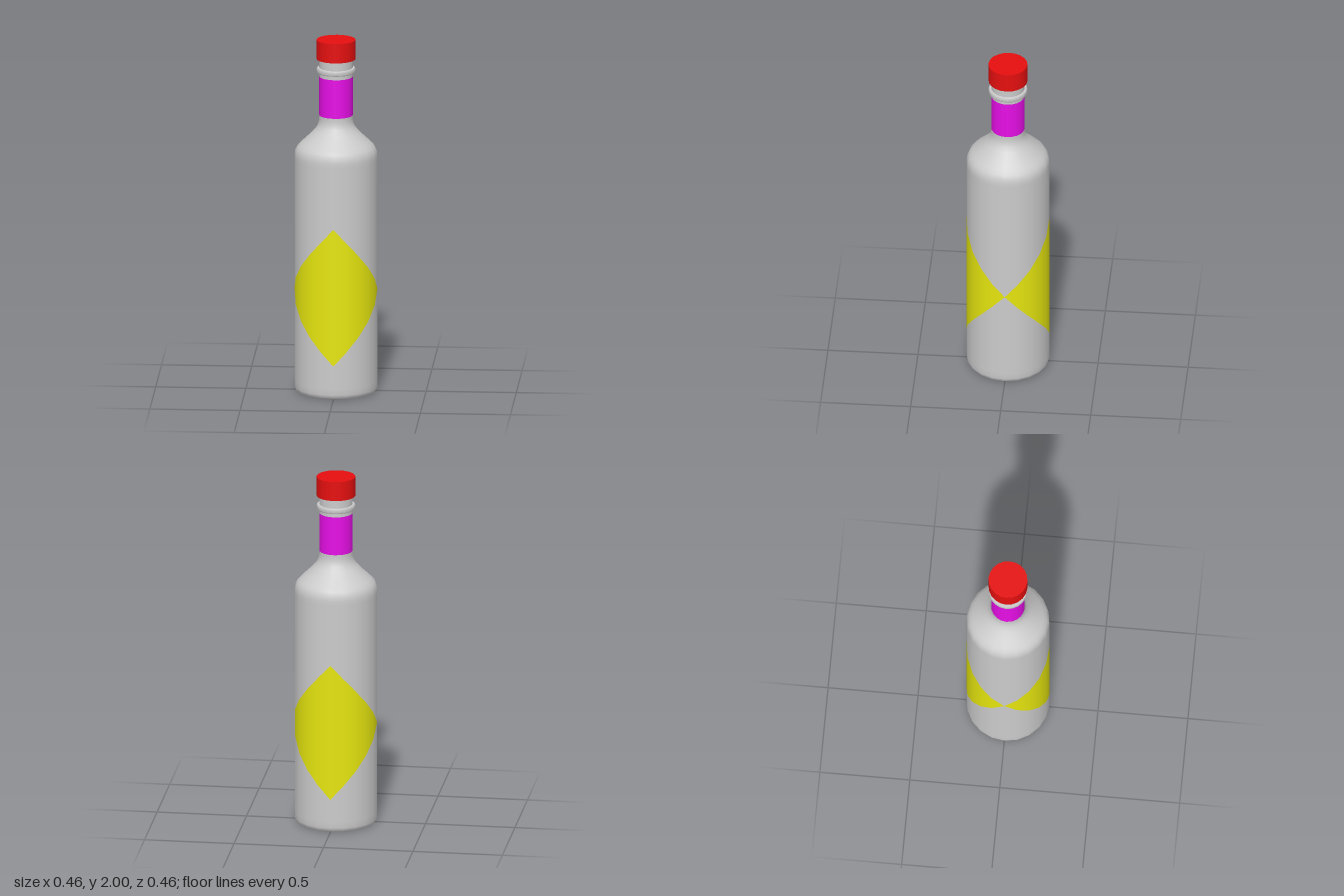
import * as THREE from 'three';

const SIDES = 20;
const BODY_R = 0.23;
const NECK_R = 0.093;

const glass = new THREE.MeshStandardMaterial({ color: 0xcccccc });
const yellow = new THREE.MeshStandardMaterial({ color: 0xe6e60f });
const magenta = new THREE.MeshStandardMaterial({ color: 0xe60fe6 });
const red = new THREE.MeshStandardMaterial({ color: 0xe60f0f });

// Turned part from [radius, height] points, listed bottom to top
function turned(name, points, material) {
  const profile = points.map(([r, y]) => new THREE.Vector2(r, y));
  const mesh = new THREE.Mesh(new THREE.LatheGeometry(profile, SIDES), material);
  mesh.name = name;
  return mesh;
}

// Strip of the straight body wall whose lower and upper edges vary with the angle
function wallBand(name, low, high, material) {
  const mesh = turned(name, [[BODY_R, 0], [BODY_R, 1]], material);
  const pos = mesh.geometry.attributes.position;
  for (let i = 0; i < pos.count; i++) {
    const angle = Math.atan2(pos.getX(i), pos.getZ(i));
    pos.setY(i, pos.getY(i) < 0.5 ? low(angle) : high(angle));
  }
  return mesh;
}

export function createModel() {
  const bottle = new THREE.Group();
  bottle.name = 'bottle';

  // Base with a small rounded edge
  const base = new THREE.Mesh(new THREE.CircleGeometry(0.215, SIDES), glass);
  base.name = 'base';
  base.rotation.x = Math.PI / 2;
  bottle.add(base);
  bottle.add(turned('baseEdge', [[0.215, 0], [0.225, 0.008], [0.23, 0.025], [0.23, 0.06]], glass));

  // Straight wall, divided by diamond labels on the front and back
  const reach = (a) => {
    const fromFace = Math.min(Math.abs(a), Math.PI - Math.abs(a));
    return 0.39 * (1 - fromFace / (Math.PI / 2));
  };
  const labelLow = (a) => 0.58 - reach(a);
  const labelHigh = (a) => 0.58 + reach(a);
  bottle.add(wallBand('lowerWall', () => 0.06, labelLow, glass));
  bottle.add(wallBand('diamondLabels', labelLow, labelHigh, yellow));
  bottle.add(wallBand('upperWall', labelHigh, () => 1.32, glass));

  // Shoulder sweeping into the neck
  bottle.add(turned('shoulder', [
    [0.23, 1.32], [0.23, 1.345], [0.226, 1.37], [0.215, 1.392], [0.196, 1.412],
    [0.155, 1.45], [0.122, 1.484], [0.104, 1.508], [0.096, 1.53], [NECK_R, 1.55], [NECK_R, 1.57],
  ], glass));

  // Neck with its coloured band
  bottle.add(turned('neckBand', [[NECK_R, 1.57], [NECK_R, 1.79]], magenta));
  bottle.add(turned('upperNeck', [[NECK_R, 1.79], [NECK_R, 1.895]], glass));

  // Ring below the cap
  bottle.add(turned('ringUnderside', [[NECK_R, 1.813], [0.104, 1.813]], glass));
  bottle.add(turned('ringEdge', [[0.104, 1.813], [0.108, 1.819], [0.108, 1.835], [0.104, 1.841]], glass));
  bottle.add(turned('ringTop', [[0.104, 1.841], [NECK_R, 1.841]], glass));

  // Cap
  const cap = new THREE.Mesh(new THREE.CylinderGeometry(0.108, 0.108, 0.11, SIDES), red);
  cap.name = 'cap';
  cap.position.y = 1.945;
  bottle.add(cap);

  return bottle;
}
